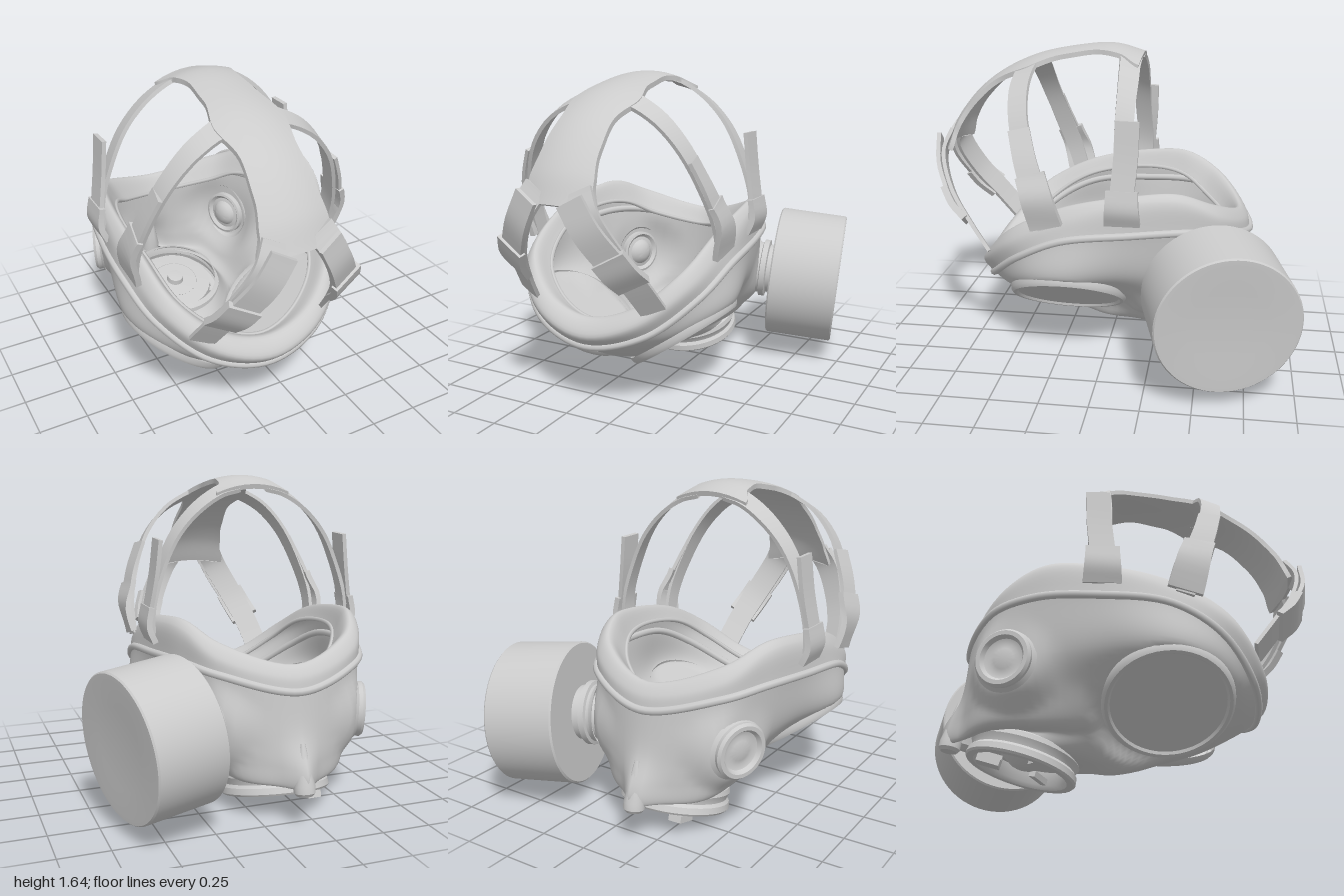
import * as THREE from 'three';
import { toCreasedNormals } from 'three/addons/utils/BufferGeometryUtils.js';

const V = (x, y, z) => new THREE.Vector3(x, y, z);
const grey = new THREE.MeshStandardMaterial({ color: 0xcccccc, side: THREE.DoubleSide });

function add(parent, geometry, name) {
  const mesh = new THREE.Mesh(geometry, grey);
  mesh.name = name;
  parent.add(mesh);
  return mesh;
}

// Skin over rows of points; every row is a closed loop
function skin(rows) {
  const n = rows[0].length, pos = [], index = [];
  rows.forEach(r => r.forEach(p => pos.push(p.x, p.y, p.z)));
  for (let i = 0; i < rows.length - 1; i++)
    for (let j = 0; j < n; j++) {
      const k = (j + 1) % n, a = i * n, b = a + n;
      index.push(a + j, b + j, b + k, a + j, b + k, a + k);
    }
  const g = new THREE.BufferGeometry();
  g.setAttribute('position', new THREE.Float32BufferAttribute(pos, 3));
  g.setIndex(index);
  g.computeVertexNormals();
  return g;
}

// Closed mirrored loop from half stations (brow centre round to chin centre)
function loop(half) {
  const pts = half.map(p => V(...p));
  const back = pts.slice(1, -1).reverse().map(p => V(-p.x, p.y, p.z));
  return new THREE.CatmullRomCurve3([...pts, ...back], true, 'centripetal');
}

// Smooth rows through a list of loops
function loftRows(loops, steps, around = 96) {
  const cols = [];
  for (let j = 0; j < around; j++) {
    const c = new THREE.CatmullRomCurve3(loops.map(l => l.getPoint(j / around)), false, 'centripetal');
    cols.push(c.getPoints(steps));
  }
  return Array.from({ length: steps + 1 }, (_, i) => cols.map(c => c[i]));
}

// Flat band along a path; width follows the list, bow curves it across
function strap(parent, name, path, widths, across, thick = 0.02, bow = 0, steps = 24) {
  const curve = new THREE.CatmullRomCurve3(path.map(p => V(...p)), false, 'centripetal');
  const rows = [], m = bow ? 8 : 1;
  for (let i = 0; i <= steps; i++) {
    const u = i / steps, p = curve.getPoint(u), t = curve.getTangent(u);
    const w = V(...across).addScaledVector(t, -V(...across).dot(t)).normalize();
    const n = t.clone().cross(w);
    const f = u * (widths.length - 1), k = Math.min(Math.floor(f), widths.length - 2);
    const half = THREE.MathUtils.lerp(widths[k], widths[k + 1], THREE.MathUtils.smoothstep(f - k, 0, 1)) / 2;
    const at = (s, h) => p.clone().addScaledVector(w, s * half).addScaledVector(n, h - bow * s * s * half * half);
    const row = [];
    for (let j = 0; j <= m; j++) row.push(at(-1 + 2 * j / m, thick / 2));
    for (let j = m; j >= 0; j--) row.push(at(-1 + 2 * j / m, -thick / 2));
    if (i === 0) rows.push(row.map(() => p.clone()));
    rows.push(row);
    if (i === steps) rows.push(row.map(() => p.clone()));
  }
  return add(parent, toCreasedNormals(skin(rows), 0.6), name);
}

// Turned part: profile of [radius, height], placed with its axis along a direction
function turned(parent, name, profile, at, axis, segments = 48) {
  const g = new THREE.LatheGeometry(profile.map(p => new THREE.Vector2(...p)), segments);
  const mesh = add(parent, toCreasedNormals(g, 0.6), name);
  mesh.position.set(...at);
  mesh.quaternion.setFromUnitVectors(V(0, 1, 0), V(...axis).normalize());
  return mesh;
}

export function createModel() {
  const model = new THREE.Group();
  model.name = 'respiratorMask';
  const mask = new THREE.Group();
  mask.name = 'mask';
  mask.position.x = -0.17;
  model.add(mask);

  // Face seal: inner lip, top edge, outer band, seam
  const lip = loop([[0, .46, .59], [.2, .52, .55], [.37, .66, .43], [.43, .8, .2], [.43, .86, -.15], [.37, .84, -.36], [.26, .76, -.5], [0, .69, -.63]]);
  const top = loop([[0, .5, .67], [.25, .57, .63], [.43, .73, .49], [.485, .88, .2], [.475, .955, -.18], [.435, .96, -.38], [.33, .88, -.56], [0, .78, -.69]]);
  const band = loop([[0, .42, .735], [.28, .5, .68], [.48, .67, .5], [.535, .82, .2], [.52, .92, -.18], [.475, .92, -.41], [.36, .82, -.61], [0, .73, -.74]]);
  const seam = loop([[0, .35, .68], [.3, .43, .62], [.5, .6, .44], [.56, .72, .2], [.54, .76, -.15], [.48, .77, -.42], [.36, .74, -.62], [0, .66, -.755]]);
  add(mask, skin(loftRows([lip, top, band, seam], 18)), 'faceSeal');
  add(mask, new THREE.TubeGeometry(seam, 120, 0.02, 8, true), 'seamRidge');
  add(mask, new THREE.TubeGeometry(lip, 120, 0.012, 6, true), 'innerLip');

  // Face shell from the seam down to the valve collar
  const brow = loop([[0, .3, .6], [.32, .37, .53], [.5, .47, .4], [.565, .5, .2], [.5, .52, -.1], [.43, .5, -.42], [.34, .47, -.63], [0, .45, -.77]]);
  const middle = loop([[0, .2, .4], [.15, .23, .4], [.28, .3, .35], [.33, .34, .18], [.36, .36, -.08], [.37, .35, -.4], [.3, .32, -.64], [0, .3, -.775]]);
  const bottom = loop([[0, .07, -.03], [.08, .11, .02], [.16, .19, .02], [.22, .23, -.05], [.27, .23, -.17], [.3, .22, -.4], [.25, .21, -.65], [0, .2, -.765]]);
  const collar = loop(Array.from({ length: 8 }, (_, i) => {
    const a = Math.PI * i / 7, c = 0.25 * Math.cos(a);
    return [0.25 * Math.sin(a), 0.16 - 0.26 * c, -0.455 + 0.97 * c];
  }));
  const eyeAt = V(.312, .318, .208), eyeAxis = V(.565, -.825, 0).normalize();
  const portAt = V(.43, .48, -.56), portAxis = V(.92, -.05, -.38).normalize();
  const rows = loftRows([seam, brow, middle, bottom, collar], 40);
  for (const p of rows.flat()) {
    // nose ridge at the chin
    if (p.z < -0.5) p.z -= 0.09 * Math.exp(-((p.x / 0.07) ** 2) - ((p.y - 0.25) / 0.14) ** 2);
    const s = p.x < 0 ? -1 : 1;
    const q = V(p.x * s, p.y, p.z);
    // height over a plane and distance from its centre axis
    const local = (at, axis) => {
      const d = q.clone().sub(at), h = d.dot(axis);
      return [h, Math.sqrt(Math.max(0, d.lengthSq() - h * h))];
    };
    // flats behind the eyepieces
    const [eh, er] = local(eyeAt, eyeAxis);
    if (eh > -0.012 && eh < 0.2) q.addScaledVector(eyeAxis, (-eh - 0.012) * (1 - THREE.MathUtils.smoothstep(er, 0.3, 0.38)));
    // cheeks swell towards the side ports
    const [ph, pr] = local(portAt, portAxis);
    if (ph > -0.25) q.addScaledVector(portAxis, (-0.025 - ph) * (1 - THREE.MathUtils.smoothstep(pr, 0.11, 0.25)));
    p.set(q.x * s, q.y, q.z);
  }
  add(mask, skin(rows), 'faceShell');
  turned(mask, 'noseSpout', [[0, -.01], [.04, -.01], [.052, .005], [.052, .04], [.036, .12], [.012, .24]], [0, .18, -.825], [0, 1, .15], 24);

  // Parts on both cheeks: eyepieces and the ports seen from inside
  for (const s of [1, -1]) {
    const side = s > 0 ? 'left' : 'right';
    turned(mask, side + 'Eyepiece', [[.318, -.03], [.314, -.005], [.3, .012], [.284, .012], [.274, 0], [0, 0]],
      [s * eyeAt.x, eyeAt.y, eyeAt.z], [s * eyeAxis.x, eyeAxis.y, 0]);
    turned(mask, side + 'InnerPort', [[.125, -.03], [.125, .012], [.112, .016], [.095, 0], [.075, .005], [.06, .025], [.035, .038], [0, .042]],
      [s * .39, .482, -.543], [-s * .92, .05, .38], 32);
  }

  // Filter canister with its neck
  const canAxis = [.96, -.09, -.25], canAt = [.505, .48, -.57];
  turned(mask, 'filterCanister', [[0, 0], [.357, 0], [.365, .008], [.362, .362], [.355, .37], [.33, .37], [.2, .363], [0, .355]], canAt, canAxis, 64);
  turned(mask, 'filterNeck', [[.165, -.12], [.148, -.095], [.148, -.08], [.165, -.075], [.165, -.045], [.14, -.04], [.14, 0]], canAt, canAxis);

  // Speech diaphragm on the other cheek
  turned(mask, 'speechDiaphragm', [[.155, -.035], [.138, -.02], [.141, 0], [.13, .014], [.11, .014], [.096, -.006], [.072, -.014], [.05, -.008], [0, 0]],
    [-portAt.x, portAt.y, portAt.z], [-portAxis.x, portAxis.y, portAxis.z]);

  // Outlet valve under the chin
  const valve = new THREE.Group();
  valve.name = 'outletValve';
  valve.position.set(0, .075, -.48);
  valve.quaternion.setFromUnitVectors(V(0, 1, 0), V(0, -.965, -.26).normalize());
  mask.add(valve);
  turned(valve, 'valveHousing', [[.24, -.13], [.265, -.115], [.272, -.09], [.262, -.07], [.258, -.055], [.272, -.04], [.276, -.01], [.268, 0], [.235, 0], [.22, -.02], [.21, -.085], [.1, -.095], [0, -.095]], [0, 0, 0], [0, 1, 0]);
  turned(valve, 'valveDome', [[.13, -.095], [.12, -.065], [.085, -.045], [.055, -.025], [.03, -.017], [0, -.015]], [0, 0, 0], [0, 1, 0], 32);
  turned(valve, 'valveButton', [[.05, -.09], [.045, -.125], [0, -.13]], [0, 0, 0], [0, 1, 0], 24);
  for (let i = 0; i < 3; i++) {
    const a = Math.PI / 2 + i * Math.PI * 2 / 3;
    const spoke = add(valve, new THREE.BoxGeometry(.13, .03, .035), 'valveSpoke');
    spoke.position.set(Math.cos(a) * .165, -.035, Math.sin(a) * .165);
    spoke.rotation.y = -a;
  }
  const tab = add(mask, new THREE.BoxGeometry(.07, .035, .11), 'valveTab');
  tab.position.set(-.13, .085, -.62);
  tab.rotation.x = 0.27;

  // Head harness: crown panel and six straps with buckles
  const harness = new THREE.Group();
  harness.name = 'headHarness';
  mask.add(harness);
  strap(harness, 'crownPanel', [[0, 1.595, -.16], [0, 1.635, 0], [0, 1.62, .2], [0, 1.56, .45], [0, 1.43, .68], [0, 1.25, .84], [0, 1.1, .91]],
    [.4, .3, .26, .28, .36, .29, .31, .35, .4], [1, 0, 0], .025, 1.1, 48);
  for (const s of [1, -1]) {
    const m = pts => pts.map(([x, y, z]) => [s * x, y, z]);
    strap(harness, 'templeStrap', m([[.08, 1.593, -.1], [.17, 1.567, -.105], [.29, 1.49, -.11], [.4, 1.37, -.11], [.48, 1.21, -.11], [.54, 1.0, -.12], [.54, .82, -.12]]),
      [.12, .105, .095, .09, .085], [0, .35, 1]);
    strap(harness, 'templeStrapEnd', m([[.51, 1.34, -.135], [.53, 1.16, -.13], [.56, .98, -.115]]), [.12, .12], [0, 0, 1], .022, 0, 8);
    strap(harness, 'templeBuckle', m([[.56, 1.0, -.115], [.575, .9, -.115], [.545, .82, -.115]]), [.16, .18], [0, 0, 1], .03, 0, 8);
    strap(harness, 'sideStrap', m([[.08, 1.55, .445], [.16, 1.528, .445], [.3, 1.45, .45], [.42, 1.31, .43], [.5, 1.12, .375], [.54, .95, .32], [.54, .78, .27]]),
      [.15, .11, .1, .095, .09], [0, -.4, 1]);
    strap(harness, 'sideStrapEnd', m([[.455, 1.27, .42], [.515, 1.13, .38], [.555, 1.0, .335]]), [.11, .12], [0, .2, 1], .02, 0, 8);
    strap(harness, 'sideBuckle', m([[.54, 1.06, .35], [.575, .94, .31], [.55, .79, .27]]), [.15, .17], [0, .2, 1], .03, 0, 8);
    strap(harness, 'browStrap', m([[.11, 1.17, .875], [.17, 1.06, .91], [.26, .88, .85], [.32, .72, .74], [.355, .57, .63]]), [.14, .13], [s * .9, .42, -.2]);
    strap(harness, 'browStrapEnd', m([[.115, 1.14, .95], [.19, 1.0, .935], [.275, .85, .865]]), [.13, .14], [s * .9, .42, -.2], .022, 0, 8);
    strap(harness, 'browBuckle', m([[.265, .88, .885], [.3, .8, .835], [.325, .73, .76]]), [.17, .17], [s * .9, .42, -.2], .035, 0, 8);
  }
  return model;
}
